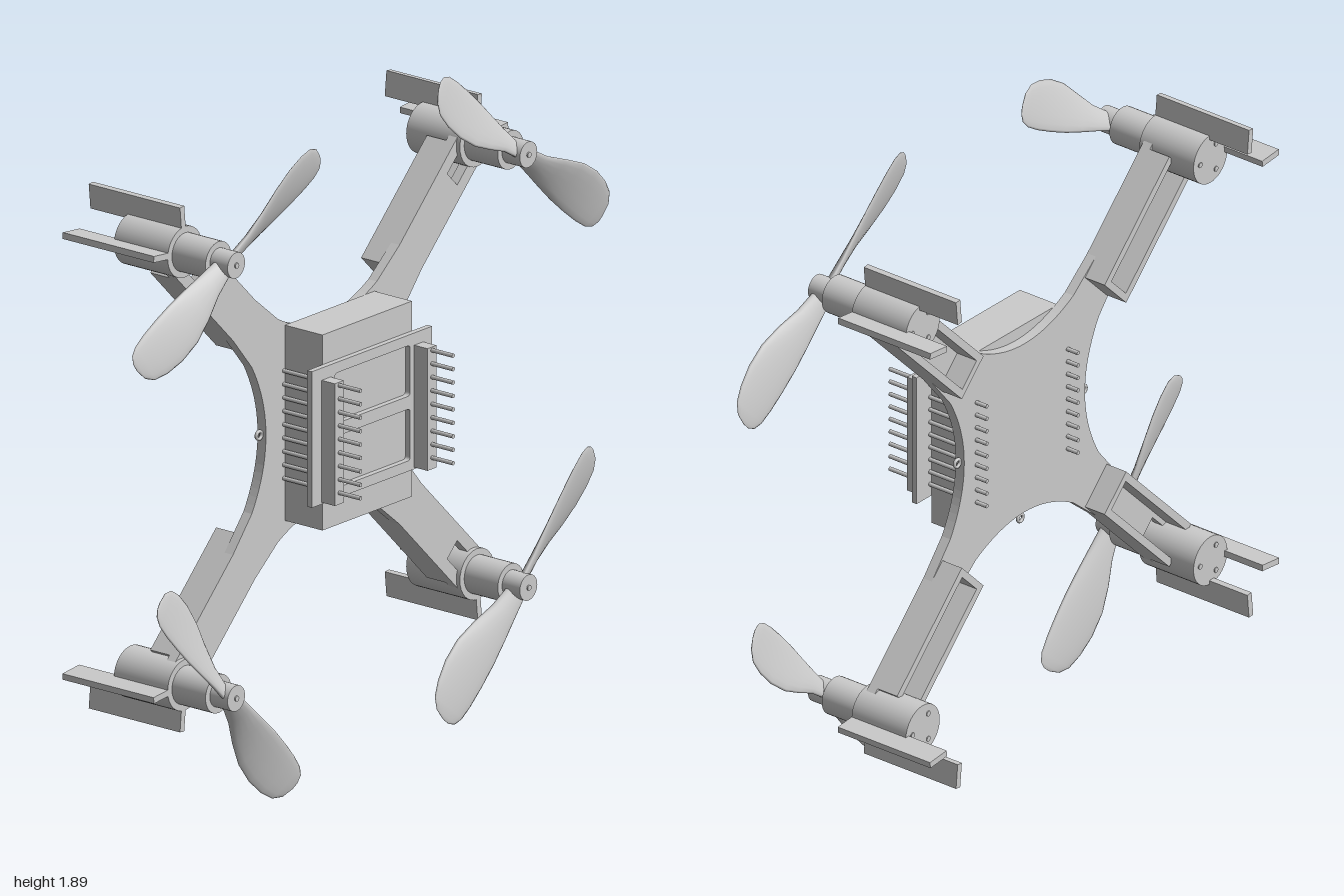
import * as THREE from 'three';

const CX = 0.02, CY = 0.965;       // centre of the frame
const MOTOR_R = 0.877;             // centre of frame to motor axis
const mat = new THREE.MeshStandardMaterial({ color: 0xcccccc });
const matBlade = new THREE.MeshStandardMaterial({ color: 0xcccccc, side: THREE.DoubleSide });

function add(parent, name, geo, x = 0, y = 0, z = 0, material = mat) {
  const m = new THREE.Mesh(geo, material);
  m.name = name;
  m.position.set(x, y, z);
  parent.add(m);
  return m;
}

// box given by its limits
function box(parent, name, x0, x1, y0, y1, z0, z1) {
  return add(parent, name, new THREE.BoxGeometry(x1 - x0, y1 - y0, z1 - z0),
    (x0 + x1) / 2, (y0 + y1) / 2, (z0 + z1) / 2);
}

// cylinder along z given by its limits
function rod(parent, name, r, z0, z1, x = 0, y = 0, sides = 32) {
  const g = new THREE.CylinderGeometry(r, r, z1 - z0, sides).rotateX(Math.PI / 2);
  return add(parent, name, g, x, y, (z0 + z1) / 2);
}

function roundedRect(p, x0, x1, y0, y1, r) {
  p.moveTo(x0 + r, y0);
  p.lineTo(x1 - r, y0); p.quadraticCurveTo(x1, y0, x1, y0 + r);
  p.lineTo(x1, y1 - r); p.quadraticCurveTo(x1, y1, x1 - r, y1);
  p.lineTo(x0 + r, y1); p.quadraticCurveTo(x0, y1, x0, y1 - r);
  p.lineTo(x0, y0 + r); p.quadraticCurveTo(x0, y0, x0 + r, y0);
  return p;
}

// X-shaped plate: four arms joined by concave arcs, a window near each motor
function plateGeometry() {
  const shape = new THREE.Shape();
  const at = (k, t, s) => {
    const a = Math.PI / 4 + k * Math.PI / 2;
    return new THREE.Vector2(t * Math.cos(a) - s * Math.sin(a), t * Math.sin(a) + s * Math.cos(a));
  };
  const edge = [[0.375, -0.078], [0.5, -0.066], [0.86, -0.066], [0.86, 0.066], [0.5, 0.066], [0.375, 0.078]];
  for (let k = 0; k < 4; k++) {
    edge.forEach(([t, s], i) => {
      const p = at(k, t, s);
      if (k === 0 && i === 0) shape.moveTo(p.x, p.y); else if (i > 0) shape.lineTo(p.x, p.y);
    });
    const c = at(k + 0.5, 0.2, 0), e = at(k + 1, ...edge[0]);
    shape.quadraticCurveTo(c.x, c.y, e.x, e.y);
    shape.holes.push(new THREE.Path([[0.75, -0.03], [0.75, 0.03], [0.815, 0.03], [0.815, -0.03]]
      .map(([t, s]) => at(k, t, s))));
  }
  return new THREE.ExtrudeGeometry(shape, { depth: 0.03, bevelEnabled: false, curveSegments: 20 });
}

// twisted blade along +x, lofted through lens-shaped sections
function bladeGeometry() {
  // radius, leading side, trailing side, pitch in degrees, half thickness
  const sections = [
    [0.02, 0.022, -0.022, 38, 0.012], [0.09, 0.036, -0.027, 34, 0.011], [0.16, 0.062, -0.034, 28, 0.01],
    [0.23, 0.085, -0.04, 23, 0.009], [0.30, 0.094, -0.042, 19, 0.008], [0.36, 0.09, -0.041, 16, 0.007],
    [0.405, 0.077, -0.036, 14, 0.006], [0.43, 0.053, -0.024, 13, 0.004], [0.44, 0.02, -0.005, 12, 0.001],
  ];
  const N = 16, pos = [], idx = [];
  for (const [r, lead, trail, pitch, h] of sections) {
    const p = pitch * Math.PI / 180;
    for (let i = 0; i < N; i++) {
      const a = i / N * Math.PI * 2;
      const w = (lead + trail) / 2 + (lead - trail) / 2 * Math.cos(a);
      const z = h * Math.sin(a);
      pos.push(r, w - z * Math.sin(p), w * Math.tan(p) + z * Math.cos(p));
    }
  }
  for (let j = 0; j < sections.length - 1; j++) {
    for (let i = 0; i < N; i++) {
      const a = j * N + i, b = j * N + (i + 1) % N;
      idx.push(a, b, b + N, a, b + N, a + N);
    }
  }
  const tip = (sections.length - 1) * N;
  for (let i = 1; i < N - 1; i++) idx.push(tip, tip + i, tip + i + 1);
  const g = new THREE.BufferGeometry();
  g.setAttribute('position', new THREE.Float32BufferAttribute(pos, 3));
  g.setIndex(idx);
  g.computeVertexNormals();
  return g;
}

function propeller(angle, flipped, blade) {
  const g = new THREE.Group();
  g.name = 'propeller';
  const blades = new THREE.Group();
  blades.name = 'blades';
  for (const turn of [0, Math.PI]) add(blades, 'blade', blade, 0, 0, 0, matBlade).rotation.z = turn;
  if (flipped) blades.rotation.x = Math.PI;
  const spin = new THREE.Group();
  spin.name = 'bladePair';
  spin.rotation.z = angle * Math.PI / 180;
  spin.position.z = 0.183;
  spin.add(blades);
  g.add(spin);
  rod(g, 'hub', 0.037, 0.15, 0.215);
  rod(g, 'shaft', 0.008, 0.215, 0.219, 0, 0, 12);
  return g;
}

export function createModel() {
  const model = new THREE.Group();
  model.name = 'quadcopter';
  add(model, 'framePlate', plateGeometry(), CX, CY, -0.01);

  // arms with channel walls on the back
  for (let k = 0; k < 4; k++) {
    const arm = new THREE.Group();
    arm.name = 'arm';
    arm.position.set(CX, CY, 0);
    arm.rotation.z = Math.PI / 4 + k * Math.PI / 2;
    for (const s of [-1, 1]) {
      const wall = box(arm, 'channelWall', 0.435, 0.83, -0.011, 0.011, -0.078, -0.008);
      wall.position.y = s * 0.055;
    }
    box(arm, 'channelEnd', 0.435, 0.455, -0.05, 0.05, -0.078, -0.008);
    model.add(arm);
  }

  // motors with mounts, landing fins and propellers
  const blade = bladeGeometry();
  const d = MOTOR_R * Math.SQRT1_2;
  for (const [sx, sy, angle, flipped] of [[-1, 1, 26, false], [1, 1, 140, false], [-1, -1, 132, true], [1, -1, 46, true]]) {
    const unit = new THREE.Group();
    unit.name = 'motorUnit';
    unit.position.set(CX + sx * d, CY + sy * d, 0);
    rod(unit, 'motorMount', 0.073, -0.157, 0.033);
    rod(unit, 'motor', 0.055, 0.033, 0.152);
    for (let i = 0; i < 3; i++) {
      const a = i * Math.PI * 2 / 3;
      rod(unit, 'mountScrew', 0.008, -0.16, -0.157, 0.045 * Math.cos(a), 0.045 * Math.sin(a), 10);
    }
    const finV = box(unit, 'landingFin', -0.009, 0.009, -0.036, 0.036, -0.29, 0.033);
    finV.position.x = sx * 0.008; finV.position.y = sy * 0.096;
    finV.rotation.z = -sx * sy * 0.1;
    const finH = box(unit, 'landingFin', -0.036, 0.036, -0.009, 0.009, -0.29, 0.033);
    finH.position.x = sx * 0.096; finH.position.y = sy * 0.008;
    finH.rotation.z = sx * sy * 0.1;
    unit.add(propeller(angle, flipped, blade));
    model.add(unit);
  }

  // battery block and circuit board with two windows
  box(model, 'batteryBlock', -0.16, 0.22, 0.70, 1.26, 0.02, 0.153);
  const board = new THREE.Shape([[-0.225, 0.785], [0.285, 0.785], [0.285, 1.175], [-0.225, 1.175]]
    .map(([x, y]) => new THREE.Vector2(x, y)));
  for (const [y0, y1] of [[0.815, 0.963], [1.0, 1.145]]) {
    board.holes.push(roundedRect(new THREE.Path(), -0.128, 0.192, y0, y1, 0.012));
  }
  add(model, 'circuitBoard', new THREE.ExtrudeGeometry(board, { depth: 0.017, bevelEnabled: false }), 0, 0, 0.153);

  // pin headers
  for (const x of [-0.165, 0.228]) {
    box(model, 'pinHeader', x - 0.019, x + 0.019, 0.79, 1.14, 0.17, 0.217);
    for (let i = 0; i < 9; i++) rod(model, 'pin', 0.006, -0.048, 0.293, x, 0.823 + i * 0.0385, 10);
  }

  // small tie loops on the plate edge
  for (const [x, y] of [[CX - 0.272, CY], [CX + 0.272, CY], [CX, CY - 0.283]]) {
    add(model, 'tieLoop', new THREE.TorusGeometry(0.011, 0.005, 8, 20), x, y, 0.005);
  }
  return model;
}
